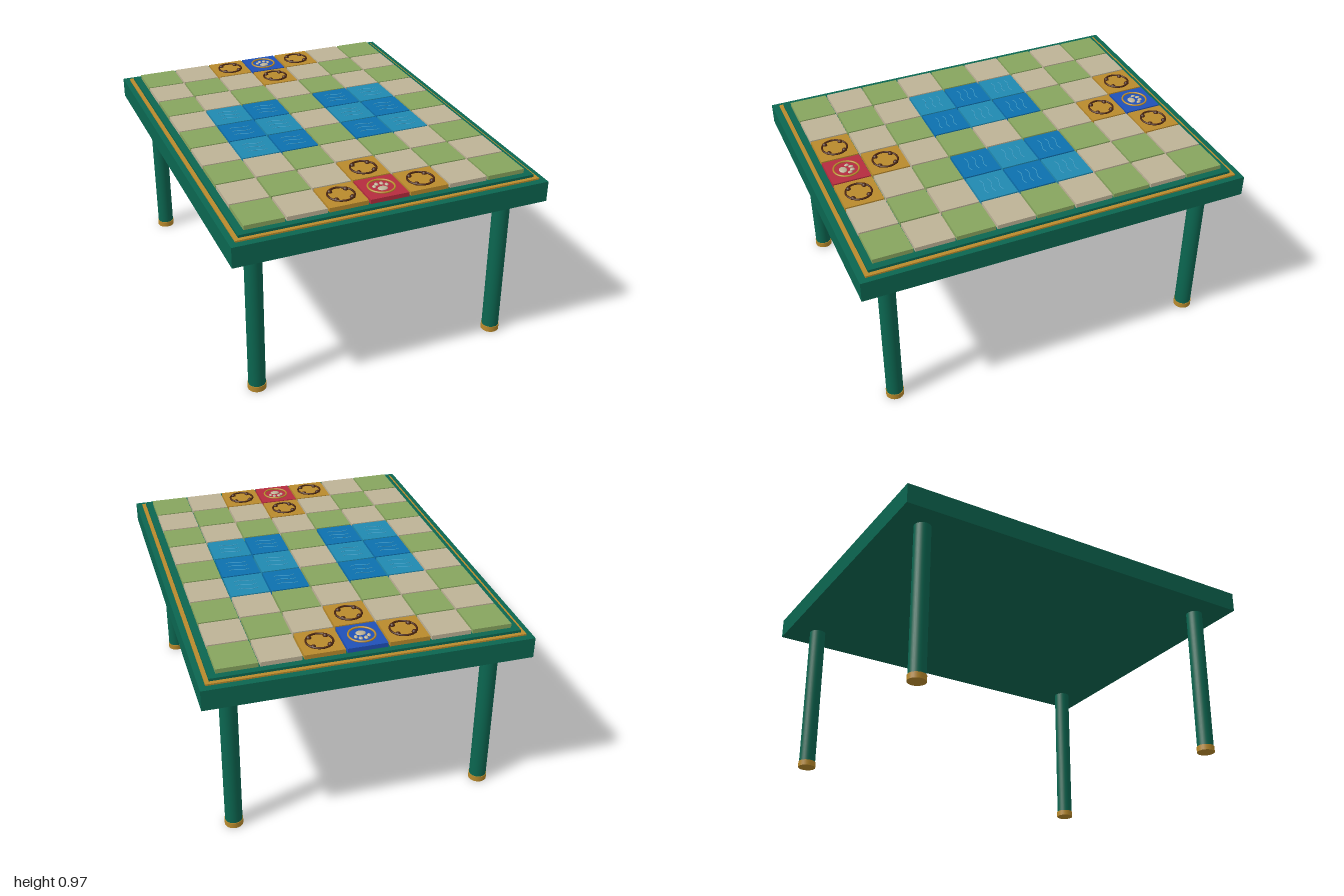
import * as THREE from 'three';

const mat = (name, color) => {
  const m = new THREE.MeshStandardMaterial({ color });
  m.name = name;
  return m;
};

export function createModel() {
  const M = {
    frame: mat('deep green', 0x0b6650),
    gold: mat('gold', 0xb98a2c),
    grass: mat('grass green', 0x87a45e),
    stone: mat('beige', 0xbdb296),
    shallow: mat('light water blue', 0x2089b0),
    deep: mat('deep water blue', 0x0c70ae),
    wave: mat('wave blue', 0x45a3cc),
    red: mat('red', 0xb52c3e),
    blue: mat('royal blue', 0x1f50b8),
    brown: mat('dark brown', 0x4a2510),
  };
  const table = new THREE.Group();
  table.name = 'gameTable';

  const add = (parent, name, geometry, material, x = 0, y = 0, z = 0) => {
    const mesh = new THREE.Mesh(geometry, material);
    mesh.name = name;
    mesh.position.set(x, y, z);
    parent.add(mesh);
    return mesh;
  };
  // Box spanning y0 to y1
  const slab = (name, w, d, y0, y1, material) =>
    add(table, name, new THREE.BoxGeometry(w, y1 - y0, d), material, 0, (y0 + y1) / 2, 0);

  // Stepped top
  slab('tableTop', 1.59, 2, 0.812, 0.917, M.frame);
  slab('goldTrim', 1.53, 1.93, 0.917, 0.925, M.gold);
  slab('boardBase', 1.49, 1.89, 0.925, 0.938, M.frame);

  // Legs with gold feet
  const legGeo = new THREE.CylinderGeometry(0.043, 0.043, 0.785, 32);
  const footGeo = new THREE.CylinderGeometry(0.046, 0.046, 0.03, 32);
  for (const x of [-0.647, 0.647]) {
    for (const z of [-0.842, 0.842]) {
      add(table, 'leg', legGeo, M.frame, x, 0.4225, z);
      add(table, 'foot', footGeo, M.gold, x, 0.015, z);
    }
  }

  // Shared tile and ornament shapes
  const pitch = 0.2037, top = 0.96;
  const tileGeo = new THREE.BoxGeometry(0.195, 0.022, 0.195);
  const ringGeo = new THREE.TorusGeometry(0.064, 0.005, 8, 40).rotateX(Math.PI / 2);
  const toothGeo = new THREE.SphereGeometry(0.013, 16, 8, 0, Math.PI * 2, 0, Math.PI / 2);
  const padGeo = new THREE.SphereGeometry(1, 20, 8, 0, Math.PI * 2, 0, Math.PI / 2);
  const wavePoints = [-2, -1, 0, 1, 2].map(
    (i) => new THREE.Vector3(i * 0.027, 0, i % 2 ? Math.sign(i) * 0.007 : 0));
  const waveGeo = new THREE.TubeGeometry(new THREE.CatmullRomCurve3(wavePoints), 24, 0.0016, 6);

  // Ring with four teeth inside
  const addTrap = (tile) => {
    add(tile, 'trapRing', ringGeo, M.brown, 0, 0.003, 0);
    for (let i = 0; i < 4; i++) {
      const a = Math.PI / 4 + (i * Math.PI) / 2;
      add(tile, 'trapTooth', toothGeo, M.brown, 0.057 * Math.cos(a), 0, 0.057 * Math.sin(a));
    }
  };

  // Gold ring around a paw: one heel pad and four toes
  const addDen = (tile) => {
    add(tile, 'denRing', ringGeo, M.gold, 0, 0.003, 0);
    const pad = (name, x, z, rx, rz) =>
      add(tile, name, padGeo, M.stone, x, 0, z).scale.set(rx, 0.007, rz);
    pad('pawPad', 0, 0.017, 0.025, 0.02);
    for (const s of [-1, 1]) {
      pad('pawToe', s * 0.032, -0.01, 0.009, 0.012);
      pad('pawToe', s * 0.013, -0.027, 0.01, 0.013);
    }
  };

  const addWaves = (tile) => {
    for (const z of [-0.04, 0, 0.04]) add(tile, 'wave', waveGeo, M.wave, 0, 0.001, z);
  };

  // Board of seven columns and nine rows
  for (let r = 0; r < 9; r++) {
    for (let c = 0; c < 7; c++) {
      const even = (r + c) % 2 === 0;
      const endDistance = Math.min(r, 8 - r);
      const sideDistance = Math.abs(c - 3);
      const den = endDistance === 0 && sideDistance === 0;
      const trap = endDistance + sideDistance === 1;
      const water = r >= 3 && r <= 5 && (sideDistance === 1 || sideDistance === 2);

      let name = 'landTile', material = even ? M.grass : M.stone, decorate = null;
      if (den) [name, material, decorate] = ['denTile', r === 0 ? M.blue : M.red, addDen];
      else if (trap) [name, material, decorate] = ['trapTile', M.gold, addTrap];
      else if (water) [name, material, decorate] = ['waterTile', even ? M.shallow : M.deep, addWaves];

      const tile = new THREE.Group();
      tile.name = name;
      tile.position.set((c - 3) * pitch, top, (r - 4) * pitch);
      add(tile, name + 'Block', tileGeo, material, 0, -0.011, 0);
      if (decorate) decorate(tile);
      table.add(tile);
    }
  }
  return table;
}
